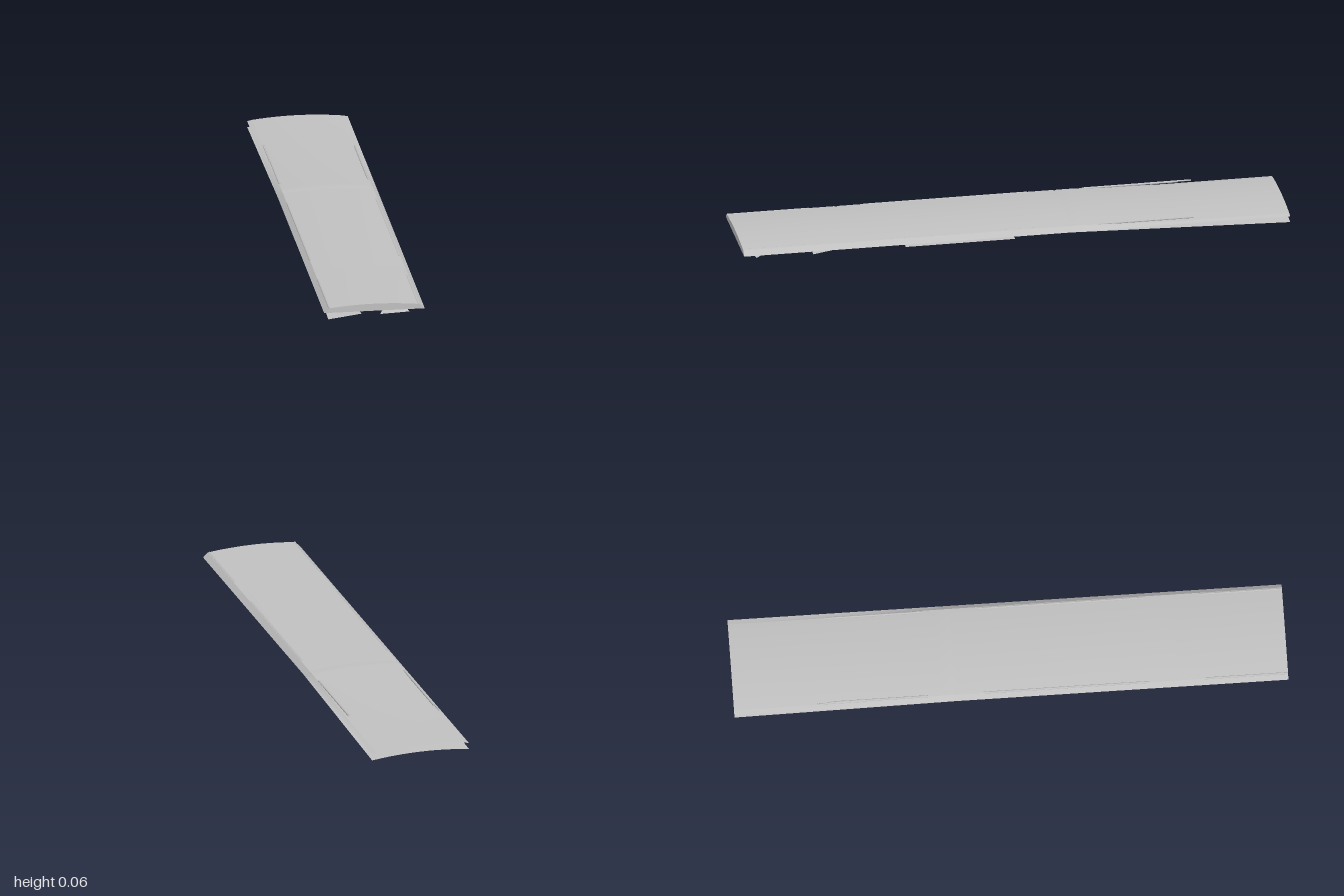
import * as THREE from 'three';

const HALF = 0.183;      // half width
const INNER = 0.165;     // where the bevelled edge begins
const EDGE_Y = 0.038;    // height of the side edges
const BOW = 0.012;       // drop of the arch from centre to edge

const lerp = THREE.MathUtils.lerp;
const ramp = (z, a, b) => THREE.MathUtils.clamp((z - a) / (b - a), 0, 1);
const bow = (x) => BOW * (x / HALF) ** 2;
const spread = (a, b, n) => Array.from({ length: n + 1 }, (_, i) => lerp(a, b, i / n));

// Surface through rows of points
function loft(rows) {
  const n = rows[0].length;
  const pos = rows.flat(2);
  const index = [];
  for (let i = 0; i < rows.length - 1; i++) {
    for (let j = 0; j < n - 1; j++) {
      const a = i * n + j, b = a + 1, c = a + n, d = c + 1;
      index.push(a, b, c, b, d, c);
    }
  }
  const g = new THREE.BufferGeometry();
  g.setAttribute('position', new THREE.Float32BufferAttribute(pos, 3));
  g.setIndex(index);
  g.computeVertexNormals();
  return g;
}

export function createModel() {
  const model = new THREE.Group();
  model.name = 'archedPanel';
  const grey = new THREE.MeshStandardMaterial({ color: 0xc0c0c0, side: THREE.DoubleSide });
  grey.name = 'light grey';

  const add = (name, geometry) => {
    const mesh = new THREE.Mesh(geometry, grey);
    mesh.name = name;
    model.add(mesh);
    return mesh;
  };

  // Top skin: gentle arch, lower toward the back, with two shallow seams
  const seams = [0.6, -0.2];
  const crown = (z) => lerp(0.065, 0.052, ramp(z, -0.25, -0.6)) - (seams.includes(z) ? 0.003 : 0);
  const topY = (x, z) => crown(z) - bow(x);
  const stations = [1, 0.606, 0.6, 0.594, -0.194, -0.2, -0.206, -0.25, -0.6, -1];
  const xs = spread(-INNER, INNER, 20);
  add('topSkin', loft(stations.map((z) => xs.map((x) => [x, topY(x, z), z]))));

  // Bevelled side edges
  for (const s of [1, -1]) {
    const ends = s > 0 ? [INNER, HALF] : [-HALF, -INNER];
    add(s > 0 ? 'leftBevel' : 'rightBevel', loft(stations.map((z) =>
      ends.map((x) => [x, Math.abs(x) === HALF ? EDGE_Y : topY(x, z), z]))));
  }

  // Front end face
  const capX = [-HALF, ...xs, HALF];
  add('frontFace', loft([
    capX.map((x) => [x, EDGE_Y, 1]),
    capX.map((x) => [x, Math.abs(x) === HALF ? EDGE_Y : topY(x, 1), 1]),
  ]));

  // Bottom skin: flat in front, then arched and splitting away at the back
  const bottomX = spread(HALF, -HALF, 20);
  const bottomY = (x, z) => lerp(EDGE_Y, 0.027 - bow(x), ramp(z, -0.2, -1));
  add('bottomSkin', loft([1, -0.2, -0.3, -0.6, -1].map((z) =>
    bottomX.map((x) => [x, bottomY(x, z), z]))));

  // Thin rods along both long edges
  const rod = (x, z0, z1, r = 0.004) => {
    const g = new THREE.CylinderGeometry(r, r, z1 - z0, 8);
    g.rotateX(Math.PI / 2);
    add('edgeRod', g).position.set(x, 0.0535, (z0 + z1) / 2);
  };
  for (const x of [-0.163, 0.16]) {
    for (const [z0, z1] of [[0.7, 1], [-0.1, 0.5], [-0.65, -0.3]]) rod(x, z0, z1);
  }
  rod(-0.166, -0.7, -0.53, 0.003);

  // Loose plates below: four corners each
  const plates = {
    leftRearPlate: [[0.14, 0.01, 0.4], [0.14, 0.01, 0], [0.02, 0.015, 0], [0.025, 0.015, 0.4]],
    rightRearPlate: [[-0.035, 0.014, 0.34], [-0.055, 0.013, 0], [-0.13, 0.009, 0], [-0.15, 0.008, 0.39]],
    leftMiddlePlate: [[0.14, 0.008, 0.74], [0.115, 0.028, 0.53], [0.055, 0.015, 0.48], [0.045, 0.014, 0.73]],
    rightMiddlePlate: [[-0.015, 0.014, 0.72], [-0.015, 0.014, 0.46], [-0.163, 0.01, 0.46], [-0.165, 0.004, 0.78]],
    leftFrontPlate: [[0.135, 0.008, 0.945], [0.105, 0.035, 0.87], [0.06, 0.014, 0.86], [0.025, 0.013, 0.97]],
    rightFrontPlate: [[-0.04, 0.013, 0.957], [-0.06, 0.012, 0.845], [-0.165, 0.009, 0.875], [-0.163, 0, 0.965]],
  };
  for (const [name, [a, b, c, d]] of Object.entries(plates)) add(name, loft([[a, b], [d, c]]));

  return model;
}
